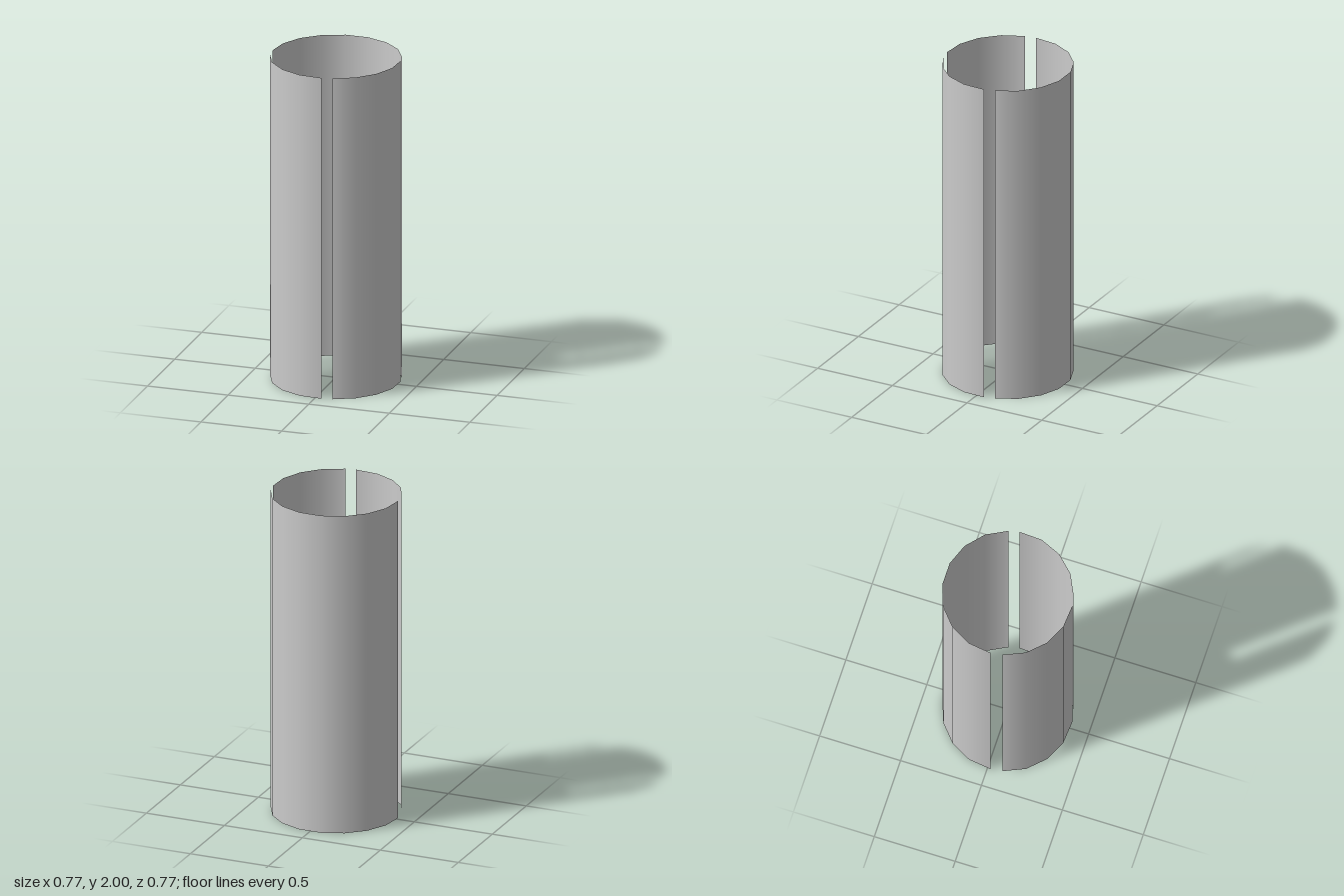
import * as THREE from 'three';

const RADIUS = 0.388;
const HEIGHT = 2;
const SEGMENTS = 4;

// Start and end of each curved panel, in degrees from +z towards +x.
// The two rear panels meet in a seam; the others leave narrow slits.
const PANELS = [
  ['frontLeftPanel', 15.7, 97.5],
  ['backLeftPanel', 107.5, 190],
  ['backRightPanel', 190, 273],
  ['frontRightPanel', 283.5, 366],
];

export function createModel() {
  const model = new THREE.Group();
  model.name = 'slottedTube';
  const material = new THREE.MeshStandardMaterial({ color: 0xcccccc, side: THREE.DoubleSide });

  for (const [name, start, end] of PANELS) {
    const geometry = new THREE.CylinderGeometry(
      RADIUS, RADIUS, HEIGHT, SEGMENTS, 1, true,
      THREE.MathUtils.degToRad(start), THREE.MathUtils.degToRad(end - start));
    const panel = new THREE.Mesh(geometry, material);
    panel.name = name;
    panel.position.y = HEIGHT / 2;
    model.add(panel);
  }
  return model;
}
